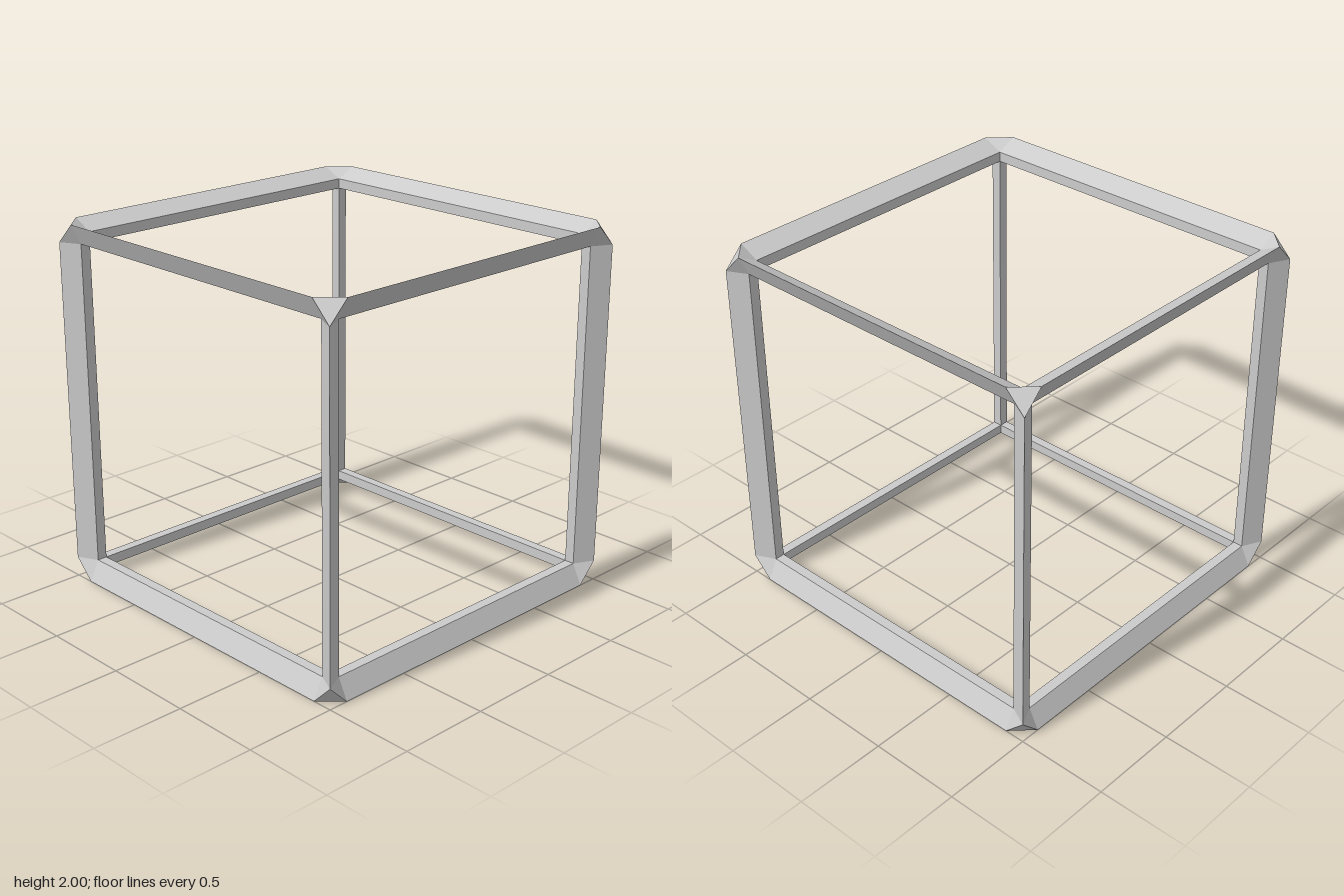
import * as THREE from 'three';
import { ConvexGeometry } from 'three/addons/geometries/ConvexGeometry.js';

const OUT = 1;       // outer edge line of the frame
const INN = 8 / 9;   // inner edge line, also where bars meet the corners
const MID = 17 / 18; // widest points of the kite-shaped section

export function createModel() {
  const model = new THREE.Group();
  model.name = 'cubeFrame';
  const material = new THREE.MeshStandardMaterial({ color: 0xcccccc, flatShading: true });

  // Kite section: sharp outer edge, square inner edge
  const section = new THREE.Shape([
    new THREE.Vector2(OUT, OUT),
    new THREE.Vector2(INN, MID),
    new THREE.Vector2(INN, INN),
    new THREE.Vector2(MID, INN),
  ]);
  const barGeometry = new THREE.ExtrudeGeometry(section, { depth: 2 * INN, bevelEnabled: false });
  barGeometry.translate(0, 0, -INN);

  // Four parallel bars along each axis
  const sets = [
    ['depthBars', 0, 0],
    ['widthBars', 0, Math.PI / 2],
    ['uprightBars', Math.PI / 2, 0],
  ];
  for (const [name, rx, ry] of sets) {
    const set = new THREE.Group();
    set.name = name;
    for (let i = 0; i < 4; i++) {
      const bar = new THREE.Mesh(barGeometry, material);
      bar.name = 'bar';
      bar.rotation.z = i * Math.PI / 2;
      set.add(bar);
    }
    set.rotation.set(rx, ry, 0);
    set.position.y = 1;
    model.add(set);
  }

  // Truncated corner joints between the bar ends
  const corner = [
    [OUT, OUT, INN], [OUT, INN, OUT], [INN, OUT, OUT],
    [MID, INN, INN], [INN, MID, INN], [INN, INN, MID],
    [INN, INN, INN],
  ];
  for (const sx of [-1, 1]) for (const sy of [-1, 1]) for (const sz of [-1, 1]) {
    const points = corner.map(([x, y, z]) => new THREE.Vector3(sx * x, sy * y, sz * z));
    const joint = new THREE.Mesh(new ConvexGeometry(points), material);
    joint.name = 'cornerJoint';
    joint.position.y = 1;
    model.add(joint);
  }
  return model;
}
